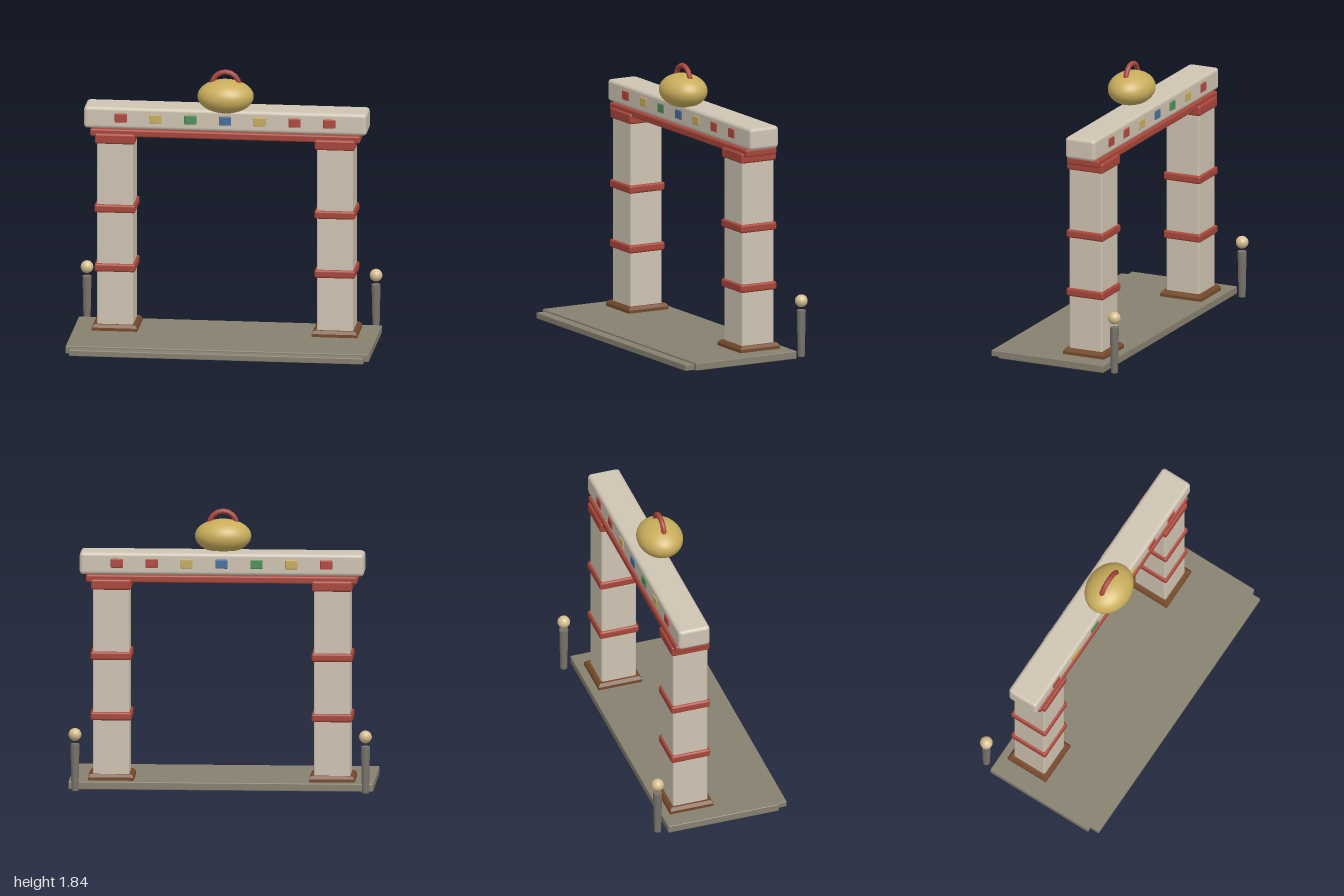
import * as THREE from 'three';
import { RoundedBoxGeometry } from 'three/addons/geometries/RoundedBoxGeometry.js';

const paint = (color, flatShading = false) => new THREE.MeshStandardMaterial({ color, flatShading });
const STONE = paint(0xcfc4b2), RED = paint(0xa8463a), WOOD = paint(0x74492a, true);
const SLAB = paint(0x86806f), GOLD = paint(0xc9ad5c), TAN = paint(0xd6bf90), POST = paint(0x77726a);
const GEMS = [0xb04a40, 0xc9ad60, 0x4f9058, 0x476f9c, 0xc9ad60, 0xb04a40, 0xb04a40].map((c) => paint(c));

export function createModel() {
  const model = new THREE.Group();

  function add(name, geometry, material, x, y, z, parent = model) {
    const mesh = new THREE.Mesh(geometry, material);
    mesh.name = name;
    mesh.position.set(x, y, z);
    parent.add(mesh);
    return mesh;
  }
  // Softened box given by its size, lower face and centre
  function block(name, w, h, d, r, material, x, y0, z, parent) {
    return add(name, new RoundedBoxGeometry(w, h, d, 2, r), material, x, y0 + h / 2, z, parent);
  }

  // Ground slab with a lower front step and a thin pad beneath
  block('baseSlab', 2, 0.052, 0.765, 0.006, SLAB, 0, 0.008, 0.018);
  block('frontStep', 1.94, 0.04, 0.08, 0.005, SLAB, 0, 0.008, 0.425);
  add('undersidePad', new THREE.BoxGeometry(0.88, 0.02, 0.19), paint(0x8a7a62), 0, 0.01, -0.07);

  // Two banded pillars
  const plinth = new THREE.CylinderGeometry(0.135 * Math.SQRT2, 0.15 * Math.SQRT2, 0.02, 4);
  plinth.rotateY(Math.PI / 4);
  for (const side of [-1, 1]) {
    const pillar = new THREE.Group();
    pillar.name = side > 0 ? 'leftPillar' : 'rightPillar';
    pillar.position.set(side * 0.725, 0, -0.16);
    model.add(pillar);
    block('shaft', 0.24, 1.28, 0.24, 0.012, STONE, 0, 0.05, 0, pillar);
    add('plinthFoot', new THREE.BoxGeometry(0.3, 0.025, 0.3), WOOD, 0, 0.0675, 0, pillar);
    add('plinthBevel', plinth, WOOD, 0, 0.09, 0, pillar);
    for (const y of [0.455, 0.855]) block('band', 0.27, 0.055, 0.27, 0.014, RED, 0, y, 0, pillar);
    block('capital', 0.265, 0.07, 0.265, 0.014, RED, 0, 1.32, 0, pillar);
  }

  // Lintel: red rail under a pale beam
  block('rail', 1.78, 0.05, 0.235, 0.012, RED, 0, 1.368, -0.16);
  block('beam', 1.865, 0.147, 0.218, 0.024, STONE, 0, 1.418, -0.16);

  // Coloured tiles on both faces of the beam
  GEMS.forEach((material, i) => {
    for (const z of [-0.051, -0.269]) {
      block('tile', 0.08, 0.06, 0.014, 0.006, material, (i - 3) * 0.229, 1.465, z);
    }
  });

  // Golden pot with an arched handle
  const pot = add('pot', new THREE.SphereGeometry(1, 40, 24), GOLD, 0, 1.655, -0.085);
  pot.scale.set(0.185, 0.111, 0.15);
  add('potHandle', new THREE.TorusGeometry(0.09, 0.017, 10, 8, Math.PI), RED, 0, 1.729, -0.085);

  // Ball-topped posts behind the slab
  for (const x of [-0.953, 0.953]) {
    add('post', new THREE.CylinderGeometry(0.03, 0.023, 0.31, 16), POST, x, 0.165, -0.424);
    add('postBall', new THREE.SphereGeometry(0.042, 20, 14), TAN, x, 0.382, -0.424);
  }
  return model;
}
